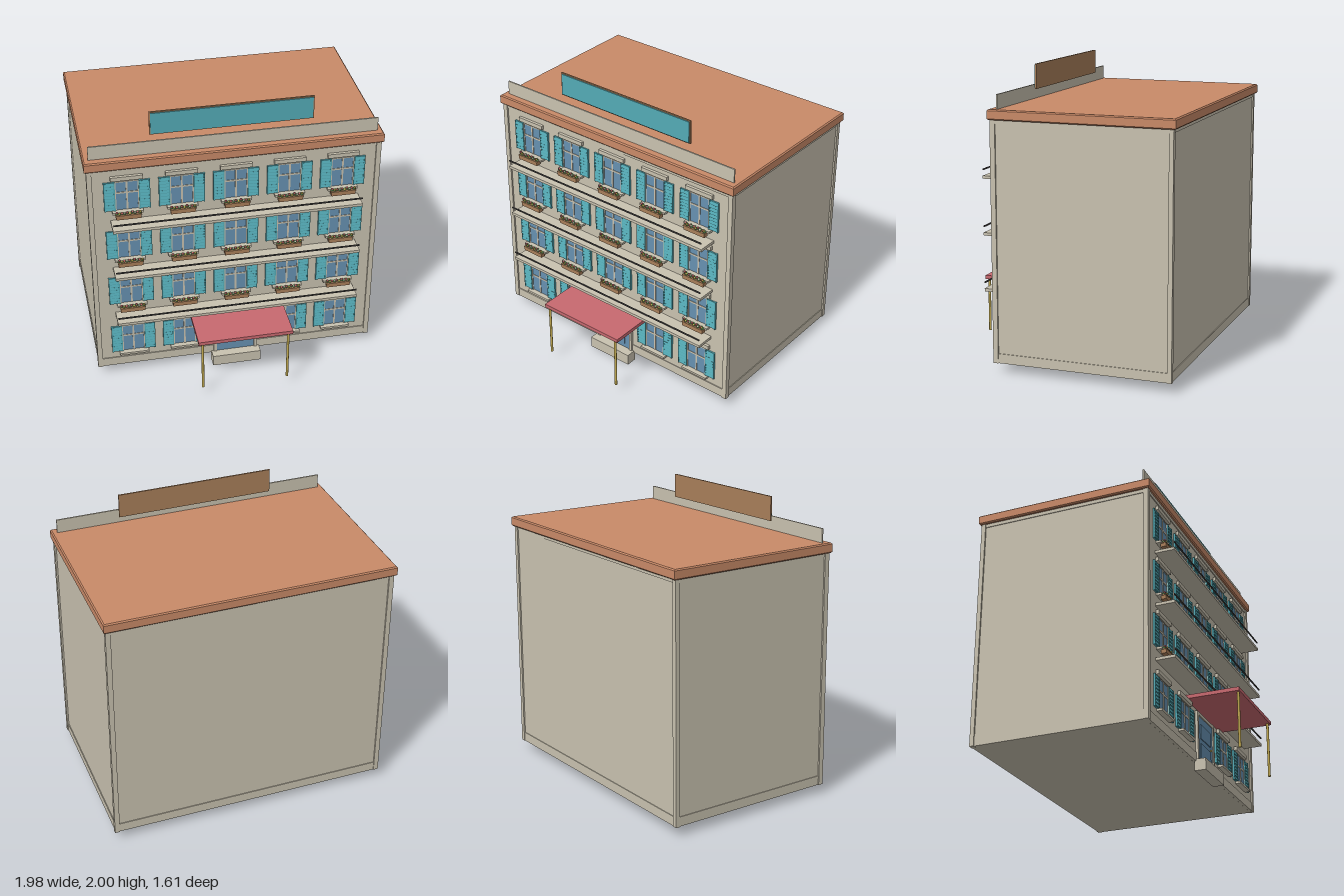
import * as THREE from 'three';

const mat = (name, color) => {
  const m = new THREE.MeshStandardMaterial({ color });
  m.name = name;
  return m;
};

export function createModel() {
  const M = {
    stone: mat('stone', 0xc9c2b0),
    roof: mat('terracotta', 0xc98a68),
    teal: mat('teal paint', 0x54abb6),
    blue: mat('blue glass and door', 0x6791b1),
    wood: mat('wood', 0xa97f5a),
    red: mat('canopy red', 0xc86970),
    gold: mat('brass', 0xc0a850),
    leaf: mat('leaf green', 0x5f9055),
    iron: mat('dark iron', 0x4c4a48),
    flower: mat('flower pink', 0xc8636a),
  };
  const model = new THREE.Group();
  model.name = 'townhouse';

  // Box given by its extents [min, max] on each axis
  const box = (parent, name, m, [x0, x1], [y0, y1], [z0, z1]) => {
    const mesh = new THREE.Mesh(new THREE.BoxGeometry(x1 - x0, y1 - y0, z1 - z0), m);
    mesh.position.set((x0 + x1) / 2, (y0 + y1) / 2, (z0 + z1) / 2);
    mesh.name = name;
    parent.add(mesh);
    return mesh;
  };
  const group = (name, x = 0, y = 0, z = 0) => {
    const g = new THREE.Group();
    g.name = name;
    g.position.set(x, y, z);
    model.add(g);
    return g;
  };

  // Walls, base course, top course, corner pilasters
  const WALL = 0.434;
  const shell = group('building');
  box(shell, 'walls', M.stone, [-0.966, 0.966], [0.066, 1.69], [-0.775, WALL]);
  for (const s of [-1, 1]) {
    const x = s < 0 ? [-0.971, -0.155] : [0.155, 0.971];
    box(shell, 'baseCourseFront', M.stone, x, [0.066, 0.13], [0.4, 0.44]);
    for (const z of [[-0.785, -0.755], [0.41, 0.445]])
      box(shell, 'cornerPilaster', M.stone, s < 0 ? [-0.977, -0.943] : [0.943, 0.977], [0.065, 1.685], z);
  }
  box(shell, 'baseCourse', M.stone, [-0.971, 0.971], [0.0655, 0.13], [-0.78, 0.42]);
  box(shell, 'topCourse', M.stone, [-0.971, 0.971], [1.655, 1.685], [-0.78, 0.44]);

  // Roof slab with softened rim, parapet and sign board
  const w = 0.982, d = 0.622, r = 0.008;
  const outline = new THREE.Shape([[-w, -d], [w, -d], [w, d], [-w, d]].map(p => new THREE.Vector2(...p)));
  const slab = new THREE.ExtrudeGeometry(outline, {
    depth: 0.068 - 2 * r, bevelEnabled: true, bevelSize: r, bevelThickness: r, bevelSegments: 1,
  });
  slab.rotateX(-Math.PI / 2);
  const roof = new THREE.Mesh(slab, M.roof);
  roof.position.set(0, 1.679 + r, -0.172);
  roof.name = 'roof';
  model.add(roof);
  box(model, 'parapet', M.stone, [-0.955, 0.955], [1.74, 1.842], [0.396, 0.406]);
  const sign = group('signBoard');
  box(sign, 'signBacking', M.wood, [-0.544, 0.544], [1.834, 2], [0.303, 0.313]);
  box(sign, 'signFace', M.teal, [-0.536, 0.536], [1.842, 1.992], [0.313, 0.32]);

  // Louvred shutter centred on x, hung from the window top at y = 0
  const shutter = (g, cx) => {
    box(g, 'shutterPanel', M.teal, [cx - 0.036, cx + 0.036], [-0.217, 0], [0, 0.01]);
    for (const s of [-1, 1]) {
      const x = cx + s * 0.033;
      box(g, 'shutterStile', M.teal, [x - 0.004, x + 0.004], [-0.218, 0.001], [0, 0.014]);
    }
    for (let i = 0; i < 9; i++) {
      const slat = box(g, 'shutterSlat', M.teal, [cx - 0.03, cx + 0.03], [-0.024 - i * 0.0235, -0.007 - i * 0.0235], [0.007, 0.013]);
      slat.rotation.x = -0.3;
    }
  };

  // Window with cross bars, shutters, lintel and sill
  const addWindow = (x, top) => {
    const g = group('window', x, top, WALL);
    box(g, 'windowGlass', M.blue, [-0.074, 0.074], [-0.215, 0], [0, 0.004]);
    for (const s of [-1, 1]) box(g, 'windowJamb', M.stone, [s * 0.075 - 0.004, s * 0.075 + 0.004], [-0.217, 0.002], [0, 0.008]);
    box(g, 'windowHead', M.stone, [-0.078, 0.078], [-0.004, 0.003], [0, 0.008]);
    box(g, 'mullion', M.stone, [-0.006, 0.006], [-0.215, 0], [0, 0.008]);
    box(g, 'transom', M.stone, [-0.074, 0.074], [-0.09, -0.078], [0, 0.007]);
    box(g, 'lintel', M.stone, [-0.106, 0.106], [0.014, 0.043], [0, 0.02]);
    box(g, 'sill', M.stone, [-0.102, 0.102], [-0.233, -0.217], [0, 0.038]);
    shutter(g, -0.115);
    shutter(g, 0.115);
  };

  // Flower box with foliage and blossoms
  const ball = new THREE.IcosahedronGeometry(0.01, 1);
  const blooms = [M.flower, M.gold, M.flower, M.stone];
  const addFlowers = (x, top) => {
    const g = group('flowerBox', x, top, 0);
    box(g, 'planter', M.wood, [-0.083, 0.083], [-0.258, -0.226], [0.459, 0.496]);
    box(g, 'planterRim', M.wood, [-0.087, 0.087], [-0.232, -0.226], [0.457, 0.498]);
    for (let i = 0; i < 10; i++) {
      const px = -0.076 + i * 0.0169;
      const leaf = new THREE.Mesh(ball, M.leaf);
      leaf.name = 'foliage';
      leaf.position.set(px, -0.22, 0.476 + (i % 2) * 0.007);
      leaf.scale.set(1, 0.9, 1.3);
      const bloom = new THREE.Mesh(ball, blooms[i % 4]);
      bloom.name = 'blossom';
      bloom.position.set(px, -0.209 - (i % 3) * 0.003, 0.483 + (i % 2) * 0.008);
      bloom.scale.setScalar(0.75);
      g.add(leaf, bloom);
    }
  };

  const columns = [-0.72, -0.36, 0, 0.36, 0.72];
  const floors = [0.402, 0.82, 1.2, 1.582];
  floors.forEach((top, floor) => columns.forEach(x => {
    if (floor === 0 && x === 0) return;
    addWindow(x, top);
    if (floor > 0) addFlowers(x, top);
  }));

  // Balcony ledges with a slim rail in front
  for (const y of [0.515, 0.896, 1.277]) {
    box(model, 'balconyLedge', M.stone, [-0.835, 0.835], [y - 0.01, y + 0.01], [0.42, 0.567]);
    box(model, 'balconyRail', M.iron, [-0.832, 0.832], [y + 0.047, y + 0.056], [0.56, 0.568]);
  }

  // Door with surround, raised panels and knob
  const door = group('door');
  box(door, 'doorLeaf', M.blue, [-0.134, 0.134], [0.078, 0.405], [0.42, 0.444]);
  for (const s of [-1, 1]) box(door, 'doorJamb', M.stone, [s * 0.145 - 0.011, s * 0.145 + 0.011], [0.066, 0.425], [0.42, 0.452]);
  box(door, 'doorHead', M.stone, [-0.156, 0.156], [0.403, 0.426], [0.42, 0.452]);
  for (const y of [[0.25, 0.35], [0.113, 0.215]])
    box(door, 'doorPanel', M.blue, [-0.092, 0.092], y, [0.44, 0.45]);
  const knob = new THREE.Mesh(new THREE.SphereGeometry(0.008, 12, 8), M.gold);
  knob.position.set(0.087, 0.224, 0.453);
  knob.name = 'doorKnob';
  door.add(knob);
  box(model, 'doorstep', M.stone, [-0.171, 0.171], [0, 0.08], [0.43, 0.508]);

  // Entrance canopy on two posts
  const canopy = group('canopy');
  box(canopy, 'canopyRoof', M.red, [-0.326, 0.326], [0.444, 0.47], [0.43, 0.803]);
  for (const s of [-1, 1]) {
    const post = new THREE.Mesh(new THREE.CylinderGeometry(0.009, 0.009, 0.38, 12), M.gold);
    post.position.set(s * 0.296, 0.255, 0.787);
    post.name = 'canopyPost';
    canopy.add(post);
  }
  return model;
}
